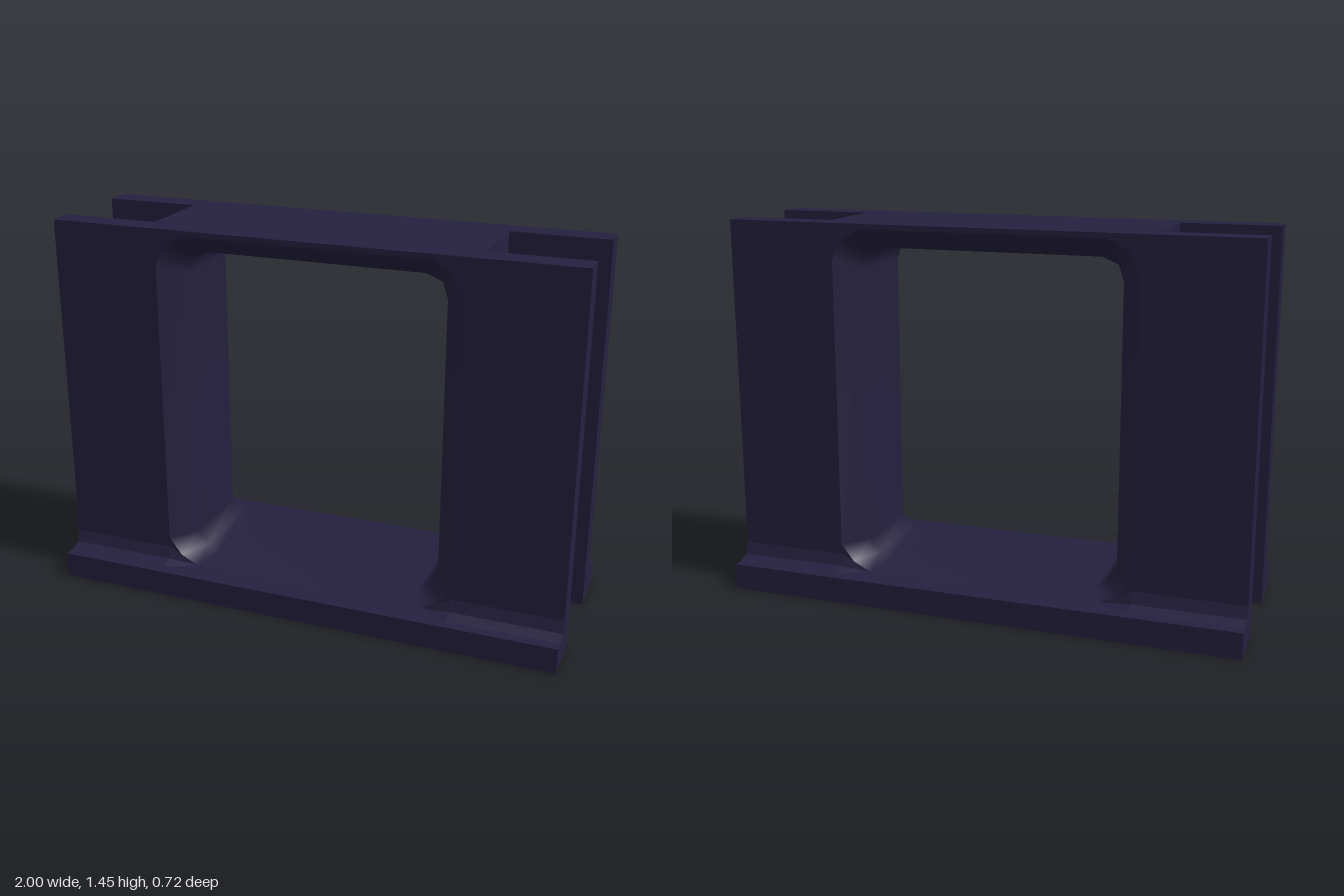
import * as THREE from 'three';

const material = new THREE.MeshStandardMaterial({ color: 0x25203f, side: THREE.DoubleSide });
const HEIGHT = 1.45;

function part(name, geometry) {
  const mesh = new THREE.Mesh(geometry, material);
  mesh.name = name;
  return mesh;
}

// Mirrors the right half of an opening into a closed clockwise outline
function outline(half) {
  const left = half.map(([x, y]) => [-x, y]).reverse();
  return [...half, ...left].map(([x, y]) => new THREE.Vector2(x, y));
}

// Skins a series of closed rings with equal point counts
function loft(rings) {
  const n = rings[0].length;
  const index = [];
  for (let i = 0; i < rings.length - 1; i++) {
    for (let j = 0; j < n; j++) {
      const a = i * n + j, b = i * n + (j + 1) % n;
      index.push(a, b, a + n, b, b + n, a + n);
    }
  }
  const geometry = new THREE.BufferGeometry().setFromPoints(rings.flat());
  geometry.setIndex(index);
  geometry.computeVertexNormals();
  return geometry;
}

// Upright slab with a window, from z0 to z0 + depth
function slab(halfWidth, hole, z0, depth) {
  const shape = new THREE.Shape([
    new THREE.Vector2(-halfWidth, 0), new THREE.Vector2(halfWidth, 0),
    new THREE.Vector2(halfWidth, HEIGHT), new THREE.Vector2(-halfWidth, HEIGHT),
  ]);
  shape.holes.push(new THREE.Path(hole));
  return new THREE.ExtrudeGeometry(shape, { depth, bevelEnabled: false }).translate(0, 0, z0);
}

export function createModel() {
  const model = new THREE.Group();
  model.name = 'windowFrame';

  // Opening at its narrowest, and where it flares out at the faces
  const inner = outline([[0.42, 1.355], [0.48, 1.33], [0.5, 1.27], [0.5, 0.2], [0.46, 0.15], [0.42, 0.112]]);
  const outer = outline([[0.47, 1.43], [0.54, 1.39], [0.58, 1.31], [0.58, 0.2], [0.53, 0.135], [0.46, 0.1]]);
  const behind = inner.map((p, i) => p.clone().lerp(outer[i], 0.15));

  // Short core leaves an open slot at each end
  model.add(part('core', slab(0.63, behind, -0.16, 0.32)));

  // Smooth lining of the window
  const ring = (points, z) => points.map((p) => new THREE.Vector3(p.x, p.y, z));
  model.add(part('windowLining', loft([
    ring(outer, -0.26), ring(inner, -0.16), ring(inner, 0.16), ring(outer, 0.26),
  ])));

  // Fillet sections as [x, scale]: fades out across the window, capped at the ends
  const sections = [[-1, 0], [-1, 1], [-0.58, 1], [-0.46, 0], [0.46, 0], [0.58, 1], [1, 1], [1, 0]];
  const profile = [[0, 0.06], [0.015, 0.015], [0.06, 0], [0, 0]];

  // Front and back panels with their foot flanges
  for (const side of ['front', 'back']) {
    const group = new THREE.Group();
    group.name = side + 'Side';
    group.add(part(side + 'Panel', slab(1, outer, 0.16, 0.1)));
    group.add(part(side + 'Flange', new THREE.BoxGeometry(2, 0.1, 0.1).translate(0, 0.05, 0.31)));
    const fillet = loft(sections.map(([x, s]) =>
      profile.map(([z, y]) => new THREE.Vector3(x, 0.1 + y * s, 0.26 + z * s)))).toNonIndexed();
    fillet.computeVertexNormals();
    group.add(part(side + 'Fillet', fillet));
    if (side === 'back') group.rotation.y = Math.PI;
    model.add(group);
  }
  return model;
}
